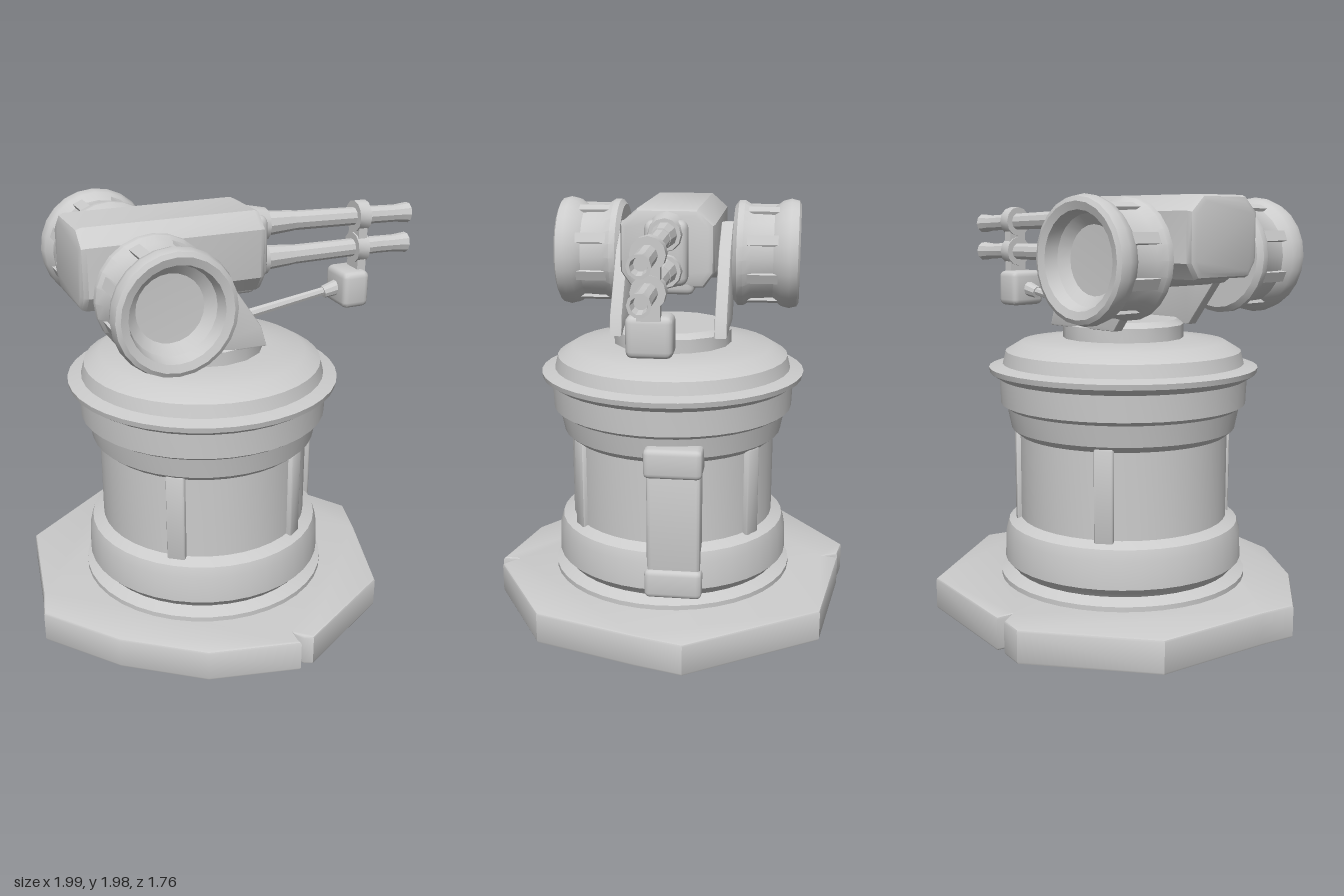
import * as THREE from 'three';
import { toCreasedNormals } from 'three/addons/utils/BufferGeometryUtils.js';
import { RoundedBoxGeometry } from 'three/addons/geometries/RoundedBoxGeometry.js';

const AXIS_X = -0.1; // tower axis
const material = new THREE.MeshStandardMaterial({ color: 0xcccccc });

const vectors = (points) => points.map(([x, y]) => new THREE.Vector2(x, y));

function part(parent, name, geometry, x = 0, y = 0, z = 0) {
  const mesh = new THREE.Mesh(toCreasedNormals(geometry, 0.6), material);
  mesh.name = name;
  mesh.position.set(x, y, z);
  parent.add(mesh);
  return mesh;
}

const lathe = (points, sides) => new THREE.LatheGeometry(vectors(points), sides);

function plate(points, depth, bevel) {
  return new THREE.ExtrudeGeometry(new THREE.Shape(vectors(points)), {
    depth: depth - 2 * bevel, bevelEnabled: bevel > 0, bevelSize: bevel,
    bevelThickness: bevel, bevelOffset: -bevel, bevelSegments: 2,
  }).translate(0, 0, bevel);
}

// Round bar between two points
function bar(parent, name, from, to, r0, r1, sides = 10) {
  const a = new THREE.Vector3(...from), b = new THREE.Vector3(...to);
  const dir = b.clone().sub(a);
  const mesh = part(parent, name, new THREE.CylinderGeometry(r1, r0, dir.length(), sides));
  mesh.position.copy(a).add(b).multiplyScalar(0.5);
  mesh.quaternion.setFromUnitVectors(new THREE.Vector3(0, 1, 0), dir.normalize());
}

function buildBase(parent) {
  // Broken stone slab, outline in x and -z, with two cracked notches
  const outline = [
    [-1, -0.2], [-0.73, -0.53], [-0.39, -0.78], [0.03, -0.875], [0.03, -0.8],
    [0.06, -0.84], [0.1, -0.86], [0.6, -0.56], [0.75, -0.08], [0.81, 0.15],
    [0.42, 0.76], [-0.19, 0.86], [-0.2, 0.79], [-0.24, 0.86], [-0.36, 0.885],
    [-0.87, 0.51], [-0.96, -0.03],
  ];
  part(parent, 'baseSlab', plate(outline, 0.157, 0.012).rotateX(-Math.PI / 2));
}

function buildTower(parent) {
  part(parent, 'tower', lathe([
    [0, 0.14], [0.6, 0.14], [0.6, 0.18], [0.54, 0.205], [0.555, 0.225], [0.58, 0.25],
    [0.575, 0.38], [0.56, 0.43], [0.505, 0.455], [0.505, 0.86], [0.54, 0.89],
    [0.56, 0.99], [0.59, 1.01], [0.595, 1.13], [0.64, 1.16], [0.645, 1.185],
    [0.58, 1.2], [0.565, 1.26], [0.49, 1.305], [0.3, 1.32], [0, 1.32],
  ], 40), AXIS_X);

  // Ribs between the wall panels
  for (const degrees of [54, 126, 234, 306]) {
    const angle = THREE.MathUtils.degToRad(degrees);
    const rib = part(parent, 'wallRib', new RoundedBoxGeometry(0.07, 0.46, 0.09, 1, 0.012),
      AXIS_X + Math.cos(angle) * 0.49, 0.65, Math.sin(angle) * 0.49);
    rib.rotation.y = -angle;
  }

  // Wide pilaster under the barrels
  part(parent, 'pilaster', new RoundedBoxGeometry(0.16, 0.66, 0.25, 2, 0.02), 0.4, 0.54, -0.07);
  part(parent, 'pilasterHead', new RoundedBoxGeometry(0.16, 0.14, 0.27, 2, 0.025), 0.435, 0.885, -0.07);
  part(parent, 'pilasterFoot', new RoundedBoxGeometry(0.16, 0.14, 0.27, 2, 0.025), 0.42, 0.285, -0.07);
}

function buildMount(parent) {
  part(parent, 'turntable', lathe([
    [0, 1.3], [0.29, 1.3], [0.29, 1.385], [0.26, 1.41], [0, 1.41],
  ], 16), AXIS_X);

  const armOutline = [
    [-0.32, 1.38], [0.11, 1.38], [0.08, 1.48], [-0.11, 1.76], [-0.28, 1.88],
    [-0.48, 1.86], [-0.56, 1.7],
  ];
  const drumProfile = [
    [0, 0.28], [0.24, 0.28], [0.265, 0.3], [0.265, 0.33], [0.24, 0.37], [0.235, 0.48],
    [0.265, 0.52], [0.275, 0.56], [0.265, 0.6], [0.245, 0.61], [0.21, 0.6],
    [0.195, 0.54], [0.15, 0.505], [0, 0.5],
  ];
  for (const side of [1, -1]) {
    part(parent, 'yokeArm', plate(armOutline, 0.06, 0.008), 0, 0, side > 0 ? 0.22 : -0.28);
    part(parent, 'sideDrum', lathe(drumProfile, 24).rotateX(side * Math.PI / 2), -0.44, 1.705, 0);
    // Raised straps around the waist of the drum
    for (let i = 0; i < 8; i++) {
      const angle = (i + 0.5) * Math.PI / 4;
      const strap = part(parent, 'drumStrap', new THREE.BoxGeometry(0.03, 0.05, 0.18),
        -0.44 + Math.cos(angle) * 0.235, 1.705 + Math.sin(angle) * 0.235, side * 0.425);
      strap.rotation.z = angle;
    }
  }
  bar(parent, 'axle', [-0.44, 1.705, -0.3], [-0.44, 1.705, 0.3], 0.13, 0.13, 16);
}

function buildGun(parent) {
  // Faceted housing, section in z and y, run along x
  const section = [
    [-0.17, 1.62], [0.17, 1.62], [0.22, 1.69], [0.22, 1.91], [0.14, 1.98],
    [-0.14, 1.98], [-0.22, 1.91], [-0.22, 1.69],
  ];
  part(parent, 'gunHousing', plate(section, 0.86, 0.03).rotateY(Math.PI / 2), -0.73);
  part(parent, 'housingChin', new RoundedBoxGeometry(0.25, 0.12, 0.25, 2, 0.03), 0, 1.645, 0);
  part(parent, 'nose', new RoundedBoxGeometry(0.14, 0.3, 0.2, 2, 0.04), 0.13, 1.785, 0);

  for (const [y, droop] of [[1.875, 0.015], [1.71, 0]]) {
    bar(parent, 'barrelSocket', [0.1, y, 0], [0.22, y, 0], 0.1, 0.075, 12);
    bar(parent, 'barrelSleeve', [0.2, y, 0], [0.36, y, 0], 0.06, 0.048);
    bar(parent, 'barrel', [0.34, y, 0], [0.84, y - droop, 0], 0.046, 0.042);
    // Flared hollow muzzle
    const muzzle = part(parent, 'muzzle', lathe([
      [0.042, 0], [0.042, 0.1], [0.05, 0.17], [0.036, 0.17], [0.03, 0.11], [0, 0.11],
    ], 10).rotateZ(-Math.PI / 2), 0.82, y - droop, 0);
    muzzle.rotation.z = -0.03;
  }

  // Clamp around both barrels and the hanging pod
  for (const y of [1.865, 1.71]) {
    bar(parent, 'barrelClamp', [0.69, y, 0], [0.75, y, 0], 0.075, 0.075, 12);
  }
  part(parent, 'clampStem', new THREE.BoxGeometry(0.045, 0.3, 0.1), 0.72, 1.72, 0);
  part(parent, 'sightPod', new RoundedBoxGeometry(0.14, 0.18, 0.2, 2, 0.03), 0.675, 1.52, 0);
  bar(parent, 'rodCollar', [0.54, 1.5, 0], [0.63, 1.52, 0], 0.03, 0.04);
  bar(parent, 'supportRod', [0.04, 1.425, 0], [0.6, 1.515, 0], 0.026, 0.02, 8);
}

export function createModel() {
  const model = new THREE.Group();
  model.name = 'gunTurret';
  for (const [name, build] of [
    ['base', buildBase], ['towerBody', buildTower], ['mount', buildMount], ['gun', buildGun],
  ]) {
    const group = new THREE.Group();
    group.name = name;
    build(group);
    model.add(group);
  }
  return model;
}
